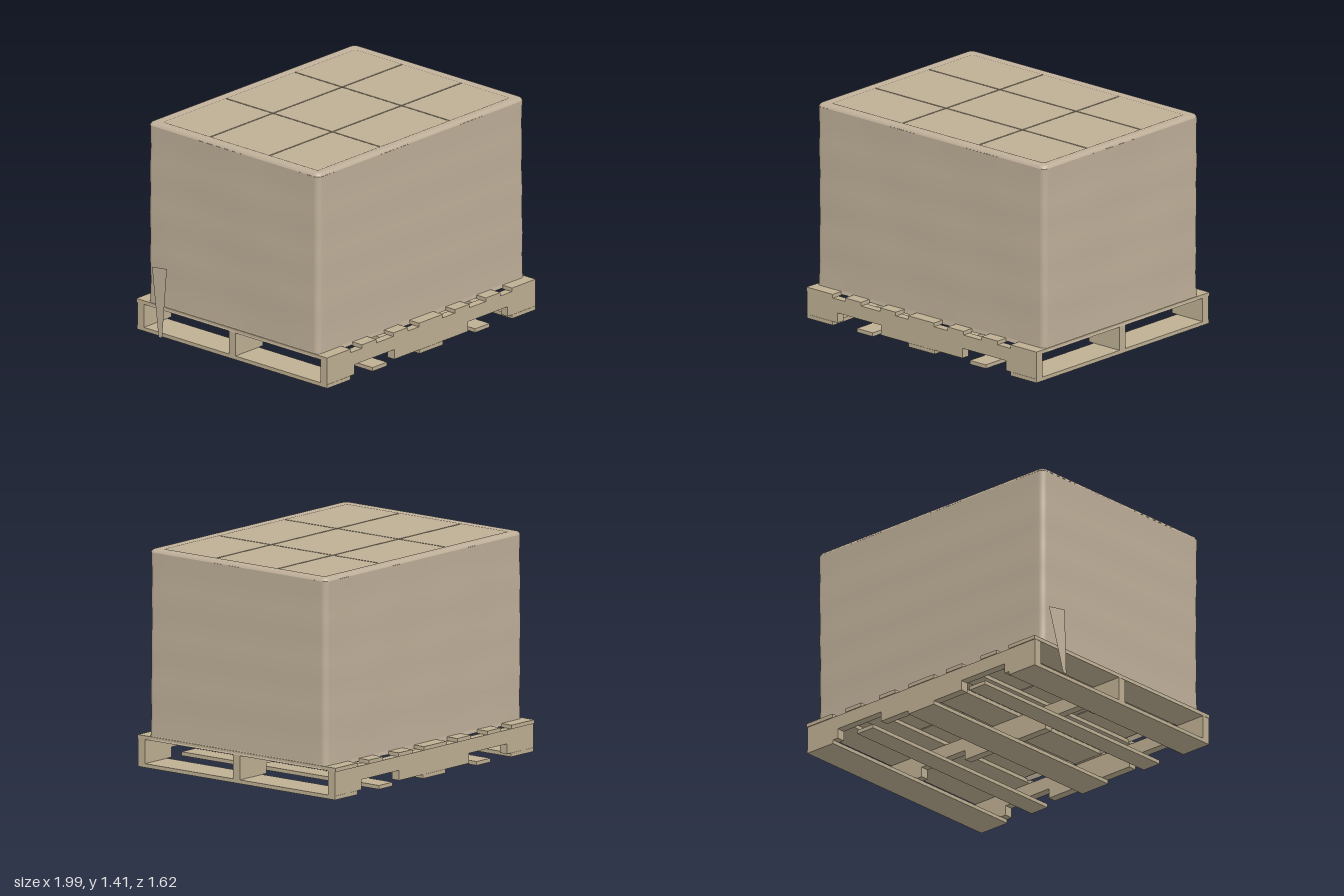
import * as THREE from 'three';

const wood = new THREE.MeshStandardMaterial({ color: 0xbfb093 });
wood.name = 'pallet wood';
const card = new THREE.MeshStandardMaterial({ color: 0xbfb095 });
card.name = 'carton board';
const film = new THREE.MeshStandardMaterial({ color: 0xc0b09a, side: THREE.DoubleSide });
film.name = 'wrap film';

const CX = 0.015; // load and pallet sit slightly off centre because of the loose tail

function add(parent, name, geometry, material, x = 0, y = 0, z = 0) {
  const mesh = new THREE.Mesh(geometry, material);
  mesh.name = name;
  mesh.position.set(x, y, z);
  parent.add(mesh);
  return mesh;
}

// Box given by its x, y and z ranges
function block(parent, name, material, [x0, x1], [y0, y1], [z0, z1]) {
  return add(parent, name, new THREE.BoxGeometry(x1 - x0, y1 - y0, z1 - z0), material,
    (x0 + x1) / 2, (y0 + y1) / 2, (z0 + z1) / 2);
}

// Rounded rectangle outline with evenly divided straight sides
function outline(hx, hz, r, steps = 12, arc = 5) {
  const corners = [[1, 1], [-1, 1], [-1, -1], [1, -1]];
  const points = [];
  corners.forEach(([sx, sz], i) => {
    for (let k = 0; k <= arc; k++) {
      const a = (i + k / arc) * Math.PI / 2;
      points.push(new THREE.Vector2(sx * (hx - r) + r * Math.cos(a), sz * (hz - r) + r * Math.sin(a)));
    }
    const [nx, nz] = corners[(i + 1) % 4];
    const a = (i + 1) * Math.PI / 2;
    const from = points[points.length - 1];
    const to = new THREE.Vector2(nx * (hx - r) + r * Math.cos(a), nz * (hz - r) + r * Math.sin(a));
    for (let k = 1; k < steps; k++) points.push(from.clone().lerp(to, k / steps));
  });
  return points;
}

// Skin over closed rings of Vector3, ordered from bottom to top
function skin(rings) {
  const n = rings[0].length;
  const index = [];
  for (let j = 0; j < rings.length - 1; j++) {
    for (let i = 0; i < n; i++) {
      const a = j * n + i, b = j * n + (i + 1) % n;
      index.push(a, a + n, b, b, a + n, b + n);
    }
  }
  const geometry = new THREE.BufferGeometry().setFromPoints(rings.flat());
  geometry.setIndex(index);
  geometry.computeVertexNormals();
  return geometry;
}

function makePallet() {
  const pallet = new THREE.Group();
  pallet.name = 'pallet';

  // Three notched stringers
  const side = new THREE.Shape();
  [[-0.96, 0.025], [-0.7, 0.025], [-0.7, 0.09], [-0.33, 0.09], [-0.33, 0.025], [0.36, 0.025],
    [0.36, 0.09], [0.73, 0.09], [0.73, 0.025], [0.99, 0.025], [0.99, 0.18], [-0.96, 0.18]]
    .forEach(([x, y], i) => (i ? side.lineTo(x, y) : side.moveTo(x, y)));
  const stringer = new THREE.ExtrudeGeometry(side, { depth: 0.056, bevelEnabled: false });
  stringer.translate(0, 0, -0.028);
  for (const z of [-0.78, 0, 0.78]) add(pallet, 'stringer', stringer, wood, 0, 0, z);

  // Seven deck boards and five bottom boards
  const deck = [[-0.962, -0.74], [-0.635, -0.5], [-0.34, -0.205], [-0.1, 0.12],
    [0.235, 0.37], [0.525, 0.66], [0.77, 0.991]];
  const base = [[-0.96, -0.74], [-0.535, -0.4], [-0.095, 0.125], [0.425, 0.56], [0.77, 0.99]];
  for (const x of deck) block(pallet, 'deckBoard', wood, x, [0.18, 0.205], [-0.814, 0.81]);
  for (const x of base) block(pallet, 'bottomBoard', wood, x, [0, 0.025], [-0.81, 0.81]);
  return pallet;
}

function makeCartons() {
  const cartons = new THREE.Group();
  cartons.name = 'cartons';
  const xs = [-0.94, -0.29, 0.358, 0.97];
  const zs = [-0.715, -0.262, 0.243, 0.71];
  const gap = 0.004, layers = 4, height = 1.198 / layers;
  for (let l = 0; l < layers; l++) {
    const y = 0.205 + l * height;
    for (let i = 0; i < 3; i++) {
      for (let k = 0; k < 3; k++) {
        block(cartons, 'carton', card, [xs[i] + gap, xs[i + 1] - gap],
          [y, y + height - 0.002], [zs[k] + gap, zs[k + 1] - gap]);
      }
    }
  }
  return cartons;
}

function makeWrap() {
  const wrap = new THREE.Group();
  wrap.name = 'stretchWrap';
  const ring = (inset, place) => outline(0.968 - inset, 0.728 - inset, 0.04)
    .map((p, i) => place(p, i));

  // Walls, pulled in slightly between the layers
  const walls = [];
  const rows = 16;
  for (let j = 0; j <= rows; j++) {
    const t = j / rows;
    const inset = 0.003 * (1 - Math.cos(t * Math.PI * 8)) / 2;
    walls.push(ring(inset, (p) => {
      const ripple = 0.0015 * Math.sin(p.x * 9 + p.y * 7 + t * 5);
      return new THREE.Vector3(CX + p.x + Math.sign(p.x) * ripple, 0.21 + 1.18 * t, p.y + Math.sign(p.y) * ripple);
    }));
  }
  add(wrap, 'wrapWalls', skin(walls), film);

  // Loose lower edge with a wavy hem
  const hem = ring(0, (p) => new THREE.Vector3(
    CX + p.x * 1.012, 0.183 + 0.008 * Math.cos(p.x * 5) * Math.cos(p.y * 3), p.y * 1.006));
  add(wrap, 'wrapHem', skin([hem, walls[0]]), film);

  // Lip folded over the top edges
  const lip = [[0, 1.39], [0.008, 1.405], [0.018, 1.409], [0.062, 1.409], [0.072, 1.405]]
    .map(([inset, y]) => outline(0.968 - inset, 0.728 - inset, 0.04 - inset * 0.4)
      .map((p) => new THREE.Vector3(CX + p.x, y, p.y)));
  add(wrap, 'wrapShoulder', skin(lip.slice(0, 3)), film);
  add(wrap, 'wrapLip', skin(lip.slice(2)), film);

  // Loose tail hanging beside the back right corner
  const tail = new THREE.BufferGeometry().setFromPoints([
    new THREE.Vector3(-0.962, 0.45, -0.68), new THREE.Vector3(-0.972, 0.47, -0.545),
    new THREE.Vector3(-1, 0.01, -0.56), new THREE.Vector3(-1, 0.01, -0.59)]);
  tail.setIndex([0, 2, 1, 0, 3, 2]);
  tail.computeVertexNormals();
  add(wrap, 'wrapTail', tail, film);
  return wrap;
}

export function createModel() {
  const model = new THREE.Group();
  model.name = 'wrappedPalletLoad';
  model.add(makePallet(), makeCartons(), makeWrap());
  return model;
}
